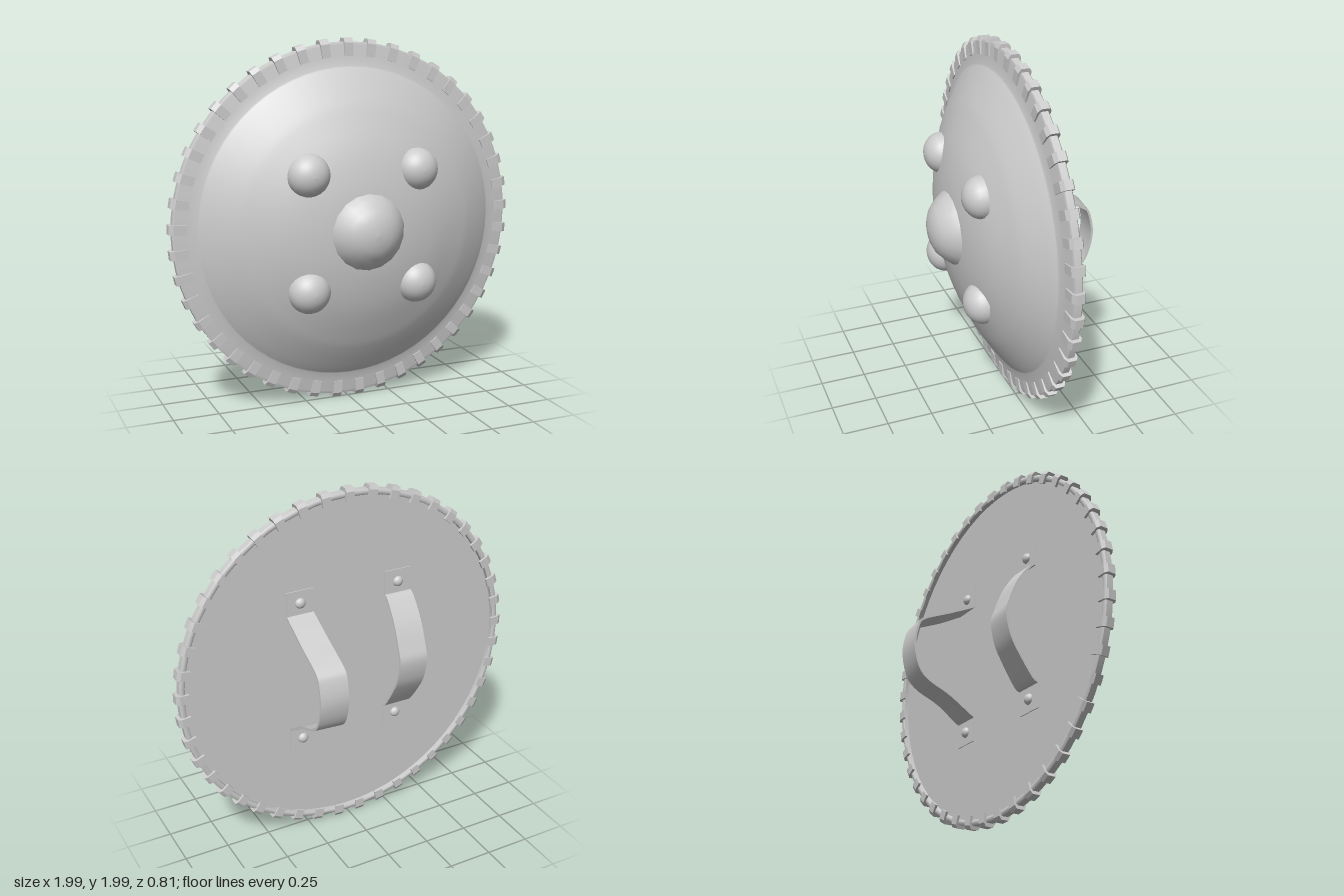
import * as THREE from 'three';
import { toCreasedNormals } from 'three/addons/utils/BufferGeometryUtils.js';

const v2 = (pts) => pts.map(([a, b]) => new THREE.Vector2(a, b));

// Turned part: profile of [radius, z], running from back to front
function turned(profile, sides) {
  return new THREE.LatheGeometry(v2(profile), sides).rotateX(Math.PI / 2);
}

export function createModel() {
  const steel = new THREE.MeshStandardMaterial({ color: 0xcccccc });
  steel.name = 'paleSteel';

  const shield = new THREE.Group();
  shield.name = 'shield';
  const body = new THREE.Group();
  body.name = 'shieldBody';
  body.position.y = 1;
  shield.add(body);

  function add(name, geometry, parent = body) {
    const mesh = new THREE.Mesh(geometry, steel);
    mesh.name = name;
    parent.add(mesh);
    return mesh;
  }

  // Domed face with a flat flange
  const domeCurve = new THREE.SplineCurve(v2([
    [0.85, 0.025], [0.8, 0.06], [0.7, 0.122], [0.61, 0.168],
    [0.42, 0.243], [0.21, 0.288], [0, 0.3],
  ]));
  const dome = domeCurve.getPoints(24).map((p) => [Math.max(p.x, 0), p.y]);
  add('dome', turned([[0.975, 0], [0.96, 0.006], [0.9, 0.013], ...dome], 64));

  // Flat back and its raised rim
  add('backPlate', turned([[0, -0.014], [0.95, -0.014]], 64));
  add('rim', toCreasedNormals(turned([
    [0.945, -0.014], [0.945, -0.038], [0.952, -0.043],
    [0.966, -0.043], [0.975, -0.036], [0.975, 0],
  ], 64), 0.7));

  // Lacing wrapped around the rim
  const wrapShape = new THREE.Shape(v2([
    [0.9, 0.005], [0.965, -0.005], [0.965, -0.04], [0.925, -0.04],
    [0.925, -0.054], [0.975, -0.054], [0.994, -0.042], [0.994, 0.002],
    [0.97, 0.017], [0.9, 0.019],
  ]));
  const wrapWidth = 0.05;
  const wrap = new THREE.ExtrudeGeometry(wrapShape, { depth: wrapWidth, bevelEnabled: false });
  wrap.translate(0, 0, -wrapWidth / 2).rotateX(Math.PI / 2);
  const lacing = new THREE.Group();
  lacing.name = 'rimLacing';
  body.add(lacing);
  const wraps = 45;
  for (let i = 0; i < wraps; i++) {
    add('rimWrap', wrap, lacing).rotation.z = Math.PI / 2 + (i / wraps) * Math.PI * 2;
  }

  // Central boss and four small studs
  add('centralBoss', turned([
    [0.205, 0.275], [0.203, 0.29], [0.17, 0.332], [0.13, 0.37],
    [0.085, 0.392], [0.04, 0.402], [0, 0.405],
  ], 18));
  const studProfile = [];
  for (let i = 0; i <= 8; i++) {
    const a = (i / 8) * Math.PI / 2;
    studProfile.push([0.115 * Math.cos(a), 0.217 + 0.103 * Math.sin(a)]);
  }
  const stud = turned(studProfile, 24);
  for (const x of [-0.308, 0.308]) {
    for (const y of [-0.308, 0.308]) add('stud', stud).position.set(x, y, 0);
  }

  // Arm straps: a bent band with a riveted tab at each end
  const rivet = new THREE.SphereGeometry(0.03, 16, 8, 0, Math.PI * 2, 0, Math.PI / 2)
    .scale(1, 0.8, 1).rotateX(-Math.PI / 2);

  function strap(name, x, width, bend) {
    const group = new THREE.Group();
    group.name = name;
    body.add(group);
    const curve = new THREE.SplineCurve(v2(bend));
    const path = [new THREE.Vector2(-0.02, 0.48), ...curve.getPoints(32),
      new THREE.Vector2(-0.02, -0.48)];
    // Offset the path to give the band its thickness
    const thickness = 0.012;
    const inner = path.map((p, i) => {
      const a = path[Math.max(i - 1, 0)];
      const b = path[Math.min(i + 1, path.length - 1)];
      const t = b.clone().sub(a).normalize();
      return new THREE.Vector2(p.x - t.y * thickness, p.y + t.x * thickness);
    });
    const shape = new THREE.Shape([...path, ...inner.reverse()]);
    const band = new THREE.ExtrudeGeometry(shape, { depth: width, bevelEnabled: false, steps: 2 });
    band.rotateY(-Math.PI / 2).translate(x + width / 2, 0, 0);
    // The band leans back a little toward its right edge
    const pos = band.attributes.position;
    for (let i = 0; i < pos.count; i++) {
      const z = pos.getZ(i);
      if (z < -0.04) pos.setZ(i, z + 0.09 * (pos.getX(i) - x + width / 2) * Math.min(1, (-z - 0.04) / 0.12));
    }
    add('strapBand', toCreasedNormals(band, 0.6), group);
    for (const y of [-0.41, 0.41]) add('strapRivet', rivet, group).position.set(x, y, -0.019);
  }

  strap('handGrip', 0.277, 0.155, [
    [-0.02, 0.345], [-0.055, 0.325], [-0.2, 0.25], [-0.35, 0.175], [-0.39, 0.12],
    [-0.408, 0], [-0.375, -0.13], [-0.31, -0.195], [-0.18, -0.25],
    [-0.055, -0.325], [-0.02, -0.345],
  ]);
  strap('forearmStrap', -0.31, 0.16, [
    [-0.02, 0.345], [-0.055, 0.325], [-0.14, 0.21], [-0.195, 0.08], [-0.215, 0],
    [-0.19, -0.12], [-0.14, -0.21], [-0.055, -0.325], [-0.02, -0.345],
  ]);

  return shield;
}
